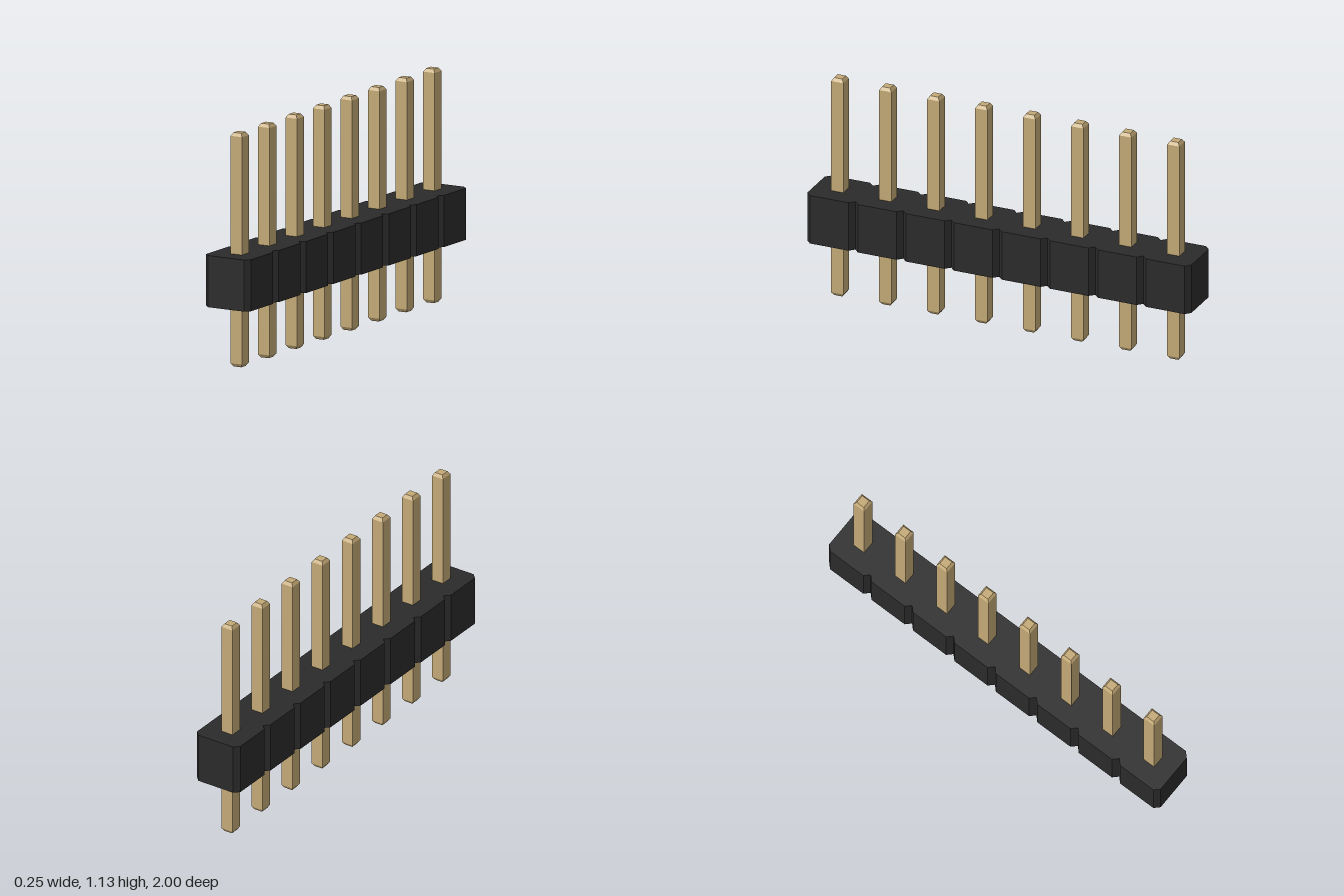
import * as THREE from 'three';

const PINS = 8;
const PITCH = 0.25;
const HALF = PITCH / 2;
const CHAMFER = 0.025;
const BODY_BOTTOM = 0.297;
const BODY_HEIGHT = 0.25;
const PIN_HEIGHT = 1.134;

// Strip of joined blocks, each with chamfered corners, extruded upwards
function createHousing(material) {
  const side = [];
  for (let i = 0; i < PINS; i++) {
    const start = -1 + i * PITCH;
    side.push(
      [HALF - CHAMFER, start],
      [HALF, start + CHAMFER],
      [HALF, start + PITCH - CHAMFER],
      [HALF - CHAMFER, start + PITCH]
    );
  }
  const outline = [...side, ...side.map(([x, y]) => [-x, -y])]
    .map(([x, y]) => new THREE.Vector2(x, y))
    .filter((p, i, all) => i === 0 || p.distanceTo(all[i - 1]) > 1e-6);
  const geometry = new THREE.ExtrudeGeometry(new THREE.Shape(outline), {
    depth: BODY_HEIGHT,
    bevelEnabled: false,
  });
  geometry.rotateX(-Math.PI / 2);
  const housing = new THREE.Mesh(geometry, material);
  housing.name = 'housing';
  housing.position.y = BODY_BOTTOM;
  return housing;
}

// Square pin with tapered ends: a four-sided lathe turned flat to the axes
function createPinGeometry() {
  const half = 0.0315, tip = 0.021, taper = 0.016;
  const profile = [
    [0, 0], [tip, 0], [half, taper],
    [half, PIN_HEIGHT - taper], [tip, PIN_HEIGHT], [0, PIN_HEIGHT],
  ].map(([r, y]) => new THREE.Vector2(r * Math.SQRT2, y));
  return new THREE.LatheGeometry(profile, 4).rotateY(Math.PI / 4);
}

export function createModel() {
  const plastic = new THREE.MeshStandardMaterial({ color: 0x2b2b2b, flatShading: true });
  const metal = new THREE.MeshStandardMaterial({ color: 0xc4a976, flatShading: true });

  const model = new THREE.Group();
  model.name = 'pinHeader';
  model.add(createHousing(plastic));

  // Row of pins, one through the middle of each block
  const pinGeometry = createPinGeometry();
  for (let i = 0; i < PINS; i++) {
    const pin = new THREE.Mesh(pinGeometry, metal);
    pin.name = `pin${i + 1}`;
    pin.position.z = -1 + (i + 0.5) * PITCH;
    model.add(pin);
  }
  return model;
}
